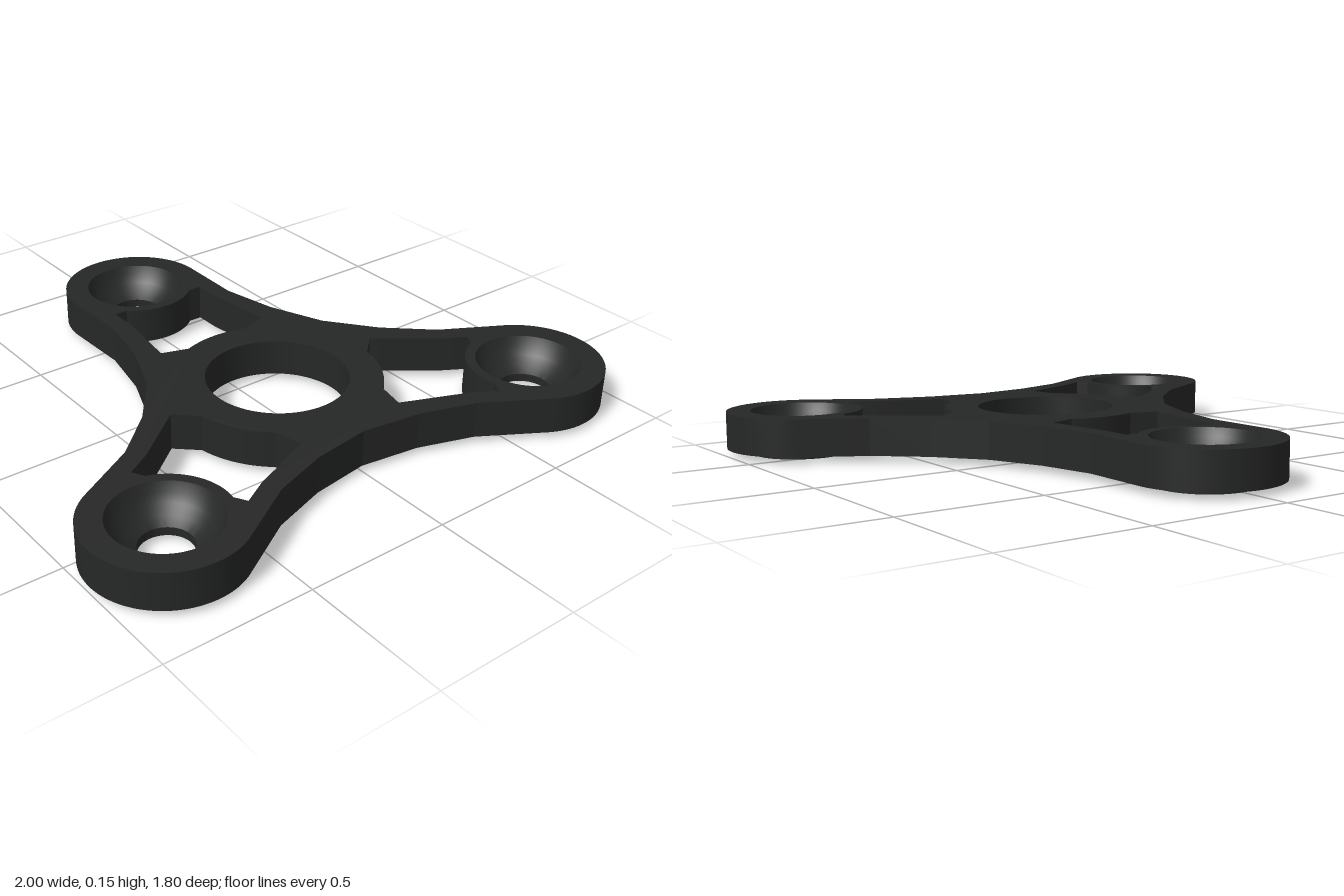
import * as THREE from 'three';
import { toCreasedNormals } from 'three/addons/utils/BufferGeometryUtils.js';

const HUB_Z = 0.2135;   // hub sits forward so the outline is centred
const ARM = 0.857;      // hub centre to lobe centre
const LOBE_R = 0.257, CUP_R = 0.175, HOLE_R = 0.085;
const BOTTOM = 0.022, TOP = 0.15;
const ANGLES = [0, 1, 2].map((i) => (i * 2 * Math.PI) / 3);

// Point given as sideways offset and distance from the hub, turned to an arm's angle
const at = (u, r, a) => new THREE.Vector2(
  u * Math.cos(a) - r * Math.sin(a),
  u * Math.sin(a) + r * Math.cos(a)
);

function lineTo(path, u, r, a) {
  const p = at(u, r, a);
  if (path.curves.length === 0 && !path.started) {
    path.moveTo(p.x, p.y);
    path.started = true;
  } else path.lineTo(p.x, p.y);
}

function circleHole(c, r) {
  return new THREE.Path().absarc(c.x, c.y, r, 0, Math.PI * 2, true);
}

// Opening between hub ring, lobe and the two thin struts
function windowHole(a) {
  const path = new THREE.Path();
  const lobe = at(0, ARM, a);
  const up = Math.PI / 2 + a, down = a - Math.PI / 2;
  path.absarc(0, 0, 0.353, up - 0.362, up + 0.362, false);
  [[-0.22, 0.36], [-0.187, 0.6], [-0.187, 0.7]].forEach(([u, r]) => lineTo(path, u, r, a));
  path.absarc(lobe.x, lobe.y, 0.21, down - 0.728, down + 0.728, false);
  [[0.187, 0.7], [0.187, 0.6], [0.22, 0.36]].forEach(([u, r]) => lineTo(path, u, r, a));
  path.closePath();
  return path;
}

// Three-armed plate with hub, lobe and window openings
function plateGeometry() {
  const shape = new THREE.Shape();
  for (const a of ANGLES) {
    const lobe = at(0, ARM, a);
    lineTo(shape, 0.375, 0.2135, a);
    lineTo(shape, 0.295, 0.41, a);
    lineTo(shape, 0.253, 0.61, a);
    shape.absarc(lobe.x, lobe.y, LOBE_R, a, a + Math.PI, false);
    lineTo(shape, -0.253, 0.61, a);
    lineTo(shape, -0.295, 0.41, a);
    shape.holes.push(circleHole(lobe, CUP_R), windowHole(a));
  }
  shape.closePath();
  shape.holes.push(circleHole(new THREE.Vector2(), 0.24));
  const geo = new THREE.ExtrudeGeometry(shape, {
    depth: TOP - BOTTOM, bevelEnabled: false, curveSegments: 64,
  });
  geo.rotateX(-Math.PI / 2).translate(0, BOTTOM, 0);
  return toCreasedNormals(geo, 0.15);
}

// Dished cup with a through hole and a raised ring underneath
function cupGeometry() {
  const profile = [
    [HOLE_R, 0.02], [0.12, 0.02], [0.125, 0], [0.17, 0], [0.17, BOTTOM], [CUP_R, BOTTOM],
    [CUP_R, TOP], [0.163, 0.121], [0.144, 0.093], [0.118, 0.068], [HOLE_R, 0.048], [HOLE_R, 0.02],
  ].map(([x, y]) => new THREE.Vector2(x, y));
  return toCreasedNormals(new THREE.LatheGeometry(profile, 64), 0.5);
}

export function createModel() {
  const model = new THREE.Group();
  model.name = 'threeArmSpinner';
  const material = new THREE.MeshStandardMaterial({ color: 0x262827 });

  const plate = new THREE.Mesh(plateGeometry(), material);
  plate.name = 'plate';
  plate.position.z = HUB_Z;
  model.add(plate);

  const cup = cupGeometry();
  ANGLES.forEach((a, i) => {
    const p = at(0, ARM, a);
    const mesh = new THREE.Mesh(cup, material);
    mesh.name = ['backCup', 'rightCup', 'leftCup'][i];
    mesh.position.set(p.x, 0, HUB_Z - p.y);
    model.add(mesh);
  });
  return model;
}
